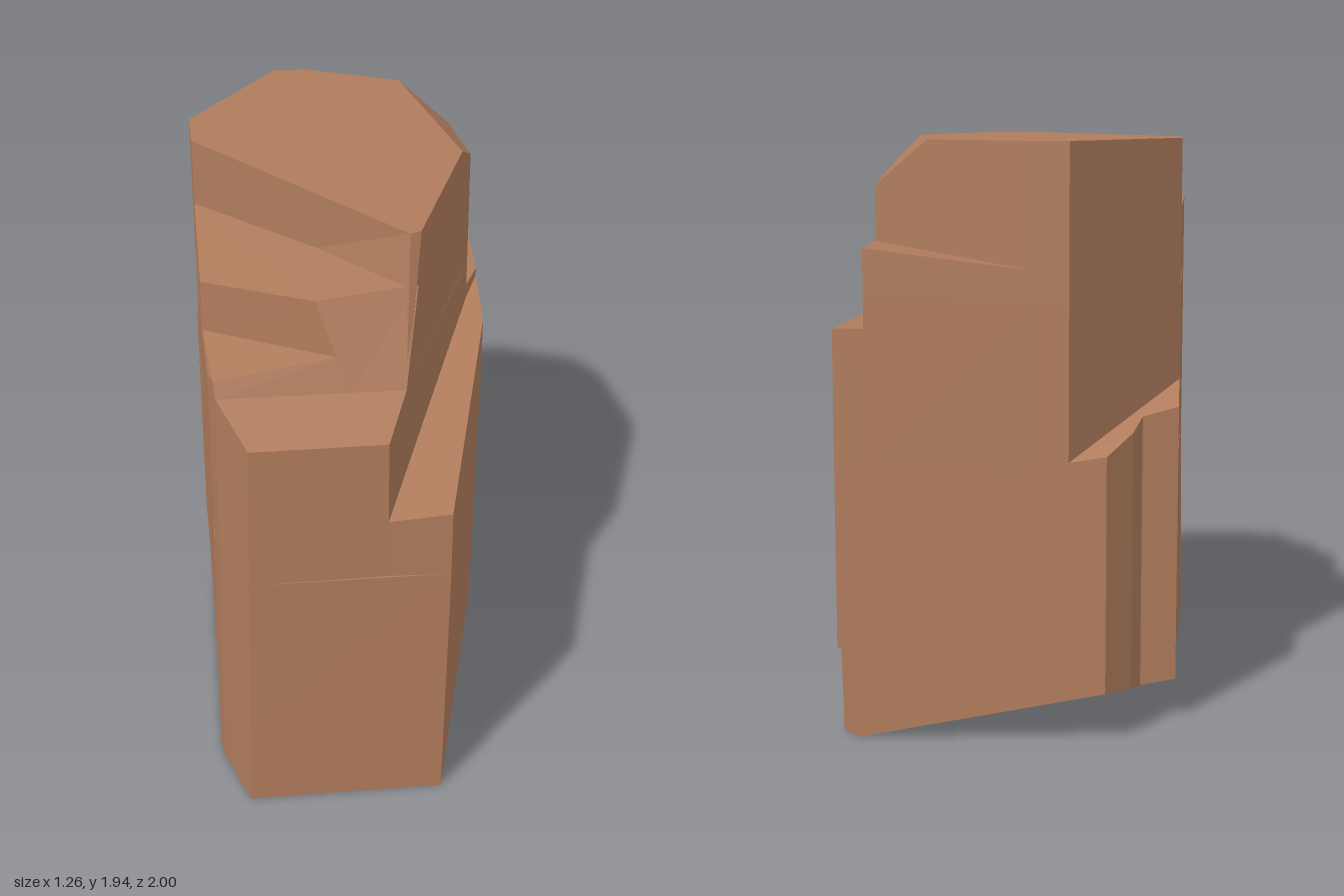
import * as THREE from 'three';

const material = new THREE.MeshStandardMaterial({ color: 0xb07c5c, flatShading: true });

// Solid between two matching rings of [x, y, z] corners
function loft(name, bottom, top) {
  const flat = ring => ring.map(p => new THREE.Vector2(p[0], -p[2]));
  if (THREE.ShapeUtils.area(flat(top)) < 0) {
    bottom = [...bottom].reverse();
    top = [...top].reverse();
  }
  const pos = [];
  const tri = (a, b, c) => pos.push(...a, ...b, ...c);
  top.forEach((p, i) => {
    const j = (i + 1) % top.length;
    tri(bottom[i], bottom[j], top[j]);
    tri(bottom[i], top[j], p);
  });
  for (const [a, b, c] of THREE.ShapeUtils.triangulateShape(flat(top), [])) tri(top[a], top[b], top[c]);
  for (const [a, b, c] of THREE.ShapeUtils.triangulateShape(flat(bottom), [])) tri(bottom[a], bottom[c], bottom[b]);
  const geo = new THREE.BufferGeometry();
  geo.setAttribute('position', new THREE.Float32BufferAttribute(pos, 3));
  geo.computeVertexNormals();
  const mesh = new THREE.Mesh(geo, material);
  mesh.name = name;
  return mesh;
}

// Upright column from height y0 to a sloping top
const column = (name, y0, top) => loft(name, top.map(([x, , z]) => [x, y0, z]), top);

export function createModel() {
  const rock = new THREE.Group();
  rock.name = 'rock';
  const mid = 0.9, step = 1.455;

  // Foot with a flat underside and one clipped corner
  rock.add(loft('foot',
    [[-0.58, 0, 0.93], [0.08, 0, 1], [0.485, 0, -0.1], [0.617, 0, -0.84], [0.56, 0, -0.917], [-0.53, 0, -0.27], [-0.635, 0, 0.6], [-0.635, 0, 0.68]],
    [[-0.574, 0.3, 0.93], [0.085, 0.3, 1], [0.482, 0.3, -0.08], [0.622, 0.3, -0.865], [0.58, 0.3, -0.915], [-0.53, 0.3, -0.27], [-0.633, 0.3, 0.6], [-0.63, 0.3, 0.678]]));

  // Back foot with a slanted underside
  const heel = [[0.56, 0, -0.917], [-0.24, 0.17, -1], [-0.33, 0.156, -0.9], [-0.37, 0.124, -0.77], [-0.49, 0.139, -0.75], [-0.53, 0, -0.27]];
  const heelTop = heel.map(([x, , z]) => [x, 0.3, z]);
  heelTop[0] = [0.58, 0.3, -0.915];
  rock.add(loft('heel', heel, heelTop));

  // Lower body over the whole footprint
  const back = y => [[0.63, y, -0.91], [-0.24, y, -1], [-0.33, y, -0.9], [-0.37, y, -0.77], [-0.49, y, -0.75]];
  rock.add(loft('lowerBody',
    [[-0.574, 0.3, 0.93], [0.085, 0.3, 1], [0.482, 0.3, -0.08], ...back(0.3), [-0.633, 0.3, 0.6], [-0.63, 0.3, 0.678]],
    [[-0.562, mid, 0.928], [0.095, mid, 1], [0.474, mid, -0.03], ...back(mid), [-0.627, mid, 0.6], [-0.622, mid, 0.674]]));

  // Ledges around the sides
  rock.add(column('rightLedge', mid, [[-0.11, 1.11, 0.97], [0.095, 1.13, 1], [0.472, 1.28, -0.01], [0.523, 1.32, -0.3], [0.45, 1.297, -0.17]]));
  rock.add(column('rearRightLedge', mid, [[0.45, 1.35, -0.17], [0.523, 1.35, -0.3], [0.63, 1.35, -0.91], [0.53, 1.35, -0.92]]));
  rock.add(column('rearLeftLedge', mid, [[-0.12, 0.93, -0.988], [-0.24, 0.95, -1], [-0.33, 1.01, -0.9], [-0.37, 1.04, -0.77], [-0.49, 1.07, -0.75], [-0.51, 1.13, -0.54]]));
  rock.add(loft('frontStep',
    [[-0.562, mid, 0.928], [-0.11, mid, 0.97], [0, mid, 0.74], [-0.622, mid, 0.674]],
    [[-0.55, 1.4, 0.925], [-0.11, 1.4, 0.97], [0, step, 0.74], [-0.612, step, 0.67]]));

  // Core behind the front step
  const core = y => [[0, y, 0.74], [0.45, y, -0.17], [0.53, y, -0.92], [0, y, -0.975], [-0.12, y, -0.988], [-0.51, y, -0.54], [-0.6, y, 0.31], [-0.625, y, 0.6]];
  rock.add(loft('core', [...core(mid), [-0.622, mid, 0.674]], [...core(step), [-0.612, step, 0.67]]));

  // Terraces rising to the crown
  rock.add(loft('lowTerrace',
    [[-0.612, step, 0.67], [-0.18, step, 0.72], [-0.6, step, 0.31], [-0.625, step, 0.6]],
    [[-0.615, 1.51, 0.65], [-0.21, 1.57, 0.68], [-0.6, 1.52, 0.31], [-0.625, 1.515, 0.6]]));
  rock.add(loft('highTerrace',
    [[-0.18, step, 0.72], [0, step, 0.74], [-0.53, step, -0.33], [-0.6, step, 0.31]],
    [[-0.275, 1.745, 0.62], [0.06, 1.775, 0.635], [-0.53, 1.7, -0.33], [-0.6, 1.7, 0.31]]));

  // Crown, its bevelled shoulder and the shelf behind
  const crown = y => [[0.38, y, -0.03], [0.33, y, -0.78], [0, y, -0.975], [-0.12, y, -0.988], [-0.51, y, -0.54], [-0.53, y, -0.33]];
  rock.add(loft('crown',
    [[0, step, 0.735], [0, step, 0.74], ...crown(step)],
    [[0.04, 1.94, 0.6], [0.08, 1.94, 0.585], ...crown(1.94)]));
  rock.add(column('shoulder', step, [[0.38, 1.94, -0.03], [0.45, 1.87, -0.17], [0.504, 1.79, -0.68], [0.33, 1.94, -0.78]]));
  rock.add(column('rearShelf', step, [[0.504, 1.61, -0.68], [0.53, 1.605, -0.92], [0, 1.54, -0.975]]));

  return rock;
}
